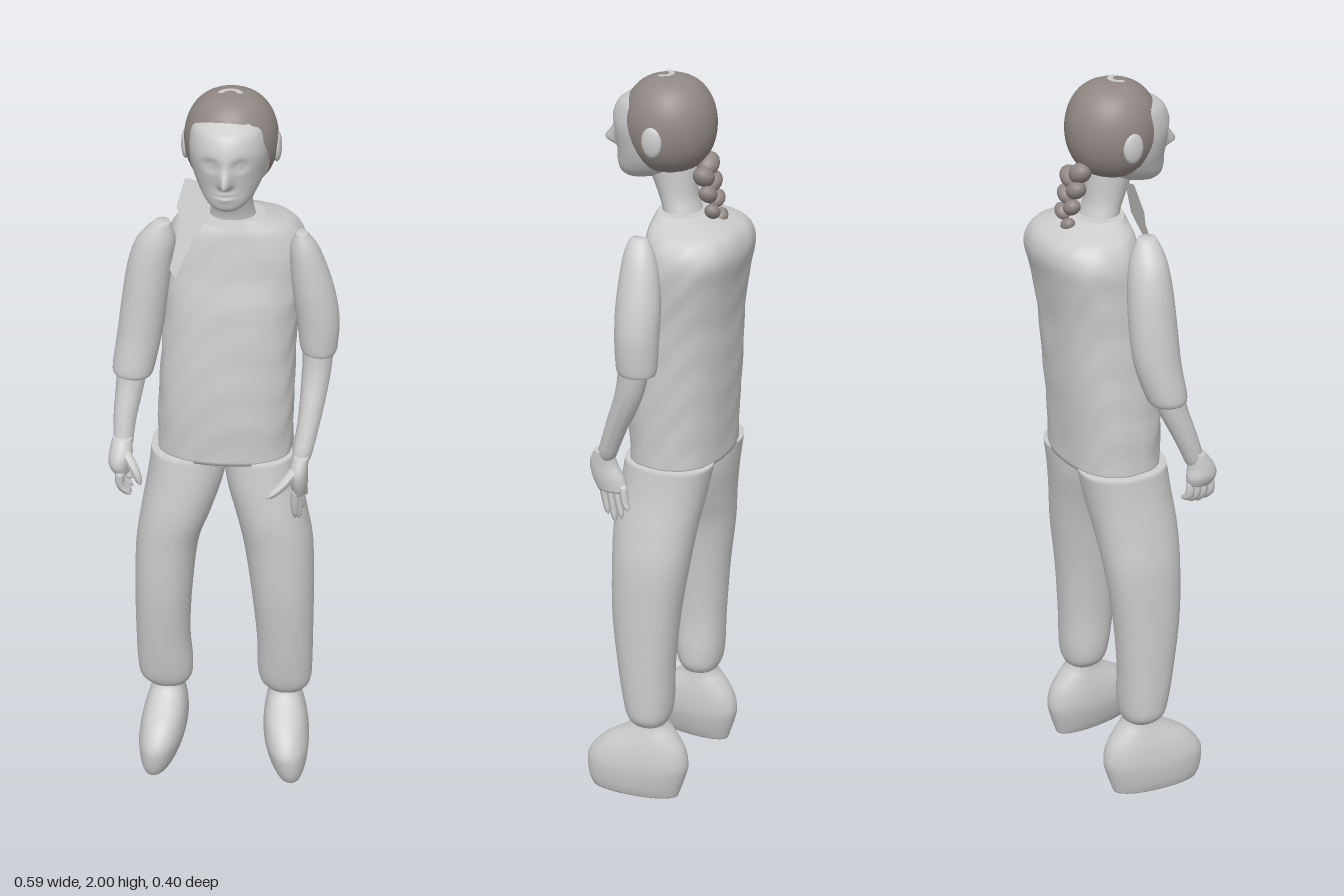
import * as THREE from 'three';

const cloth = new THREE.MeshStandardMaterial({ color: 0xcccccc, side: THREE.DoubleSide });
cloth.name = 'pale grey';
const hairMat = new THREE.MeshStandardMaterial({ color: 0x918884, side: THREE.DoubleSide });
hairMat.name = 'hair brown grey';

// Grid of points (rows of closed rings) turned into a smooth surface
function gridGeometry(rows, cols, fn) {
  const pos = [], idx = [];
  for (let i = 0; i < rows; i++)
    for (let j = 0; j < cols; j++) pos.push(...fn(i / (rows - 1), (j / cols) * Math.PI * 2));
  for (let i = 0; i < rows - 1; i++)
    for (let j = 0; j < cols; j++) {
      const a = i * cols + j, b = i * cols + (j + 1) % cols;
      idx.push(a, a + cols, b, b, a + cols, b + cols);
    }
  const g = new THREE.BufferGeometry();
  g.setAttribute('position', new THREE.Float32BufferAttribute(pos, 3));
  g.setIndex(idx);
  g.computeVertexNormals();
  return g;
}

// Loft through horizontal rings [y, x0, x1, z0, z1], listed from bottom to top
function loft(rings, { rows = 28, cols = 36, power = 2, warp = null } = {}) {
  const at = (t) => {
    const f = Math.min(Math.max(t, 0), 1) * (rings.length - 1);
    const i = Math.min(Math.floor(f), rings.length - 2), u = f - i;
    const a = rings[Math.max(i - 1, 0)], b = rings[i], c = rings[i + 1], d = rings[Math.min(i + 2, rings.length - 1)];
    return b.map((_, k) => b[k] + 0.5 * u * (c[k] - a[k] + u * (2 * a[k] - 5 * b[k] + 4 * c[k] - d[k]
      + u * (3 * (b[k] - c[k]) + d[k] - a[k]))));
  };
  const sp = (v) => Math.sign(v) * Math.abs(v) ** (2 / power);
  return gridGeometry(rows + 2, cols, (t, a) => {
    const row = Math.round(t * (rows + 1));
    const [y, x0, x1, z0, z1] = at((row - 1) / (rows - 1));
    const s = row === 0 || row === rows + 1 ? 0.001 : 0.5; // closed ends
    const p = [(x0 + x1) / 2 + sp(Math.cos(a)) * (x1 - x0) * s, y, (z0 + z1) / 2 + sp(Math.sin(a)) * (z1 - z0) * s];
    return warp ? warp(p, a) : p;
  });
}

// Tapered tube along points [x, y, z, radius]
function taper(points, seg = 18, sides = 12) {
  const curve = new THREE.CatmullRomCurve3(points.map((p) => new THREE.Vector3(p[0], p[1], p[2])));
  const g = new THREE.TubeGeometry(curve, seg, 1, sides, false);
  const p = g.attributes.position, v = new THREE.Vector3();
  for (let i = 0; i <= seg; i++) {
    const t = i / seg, f = t * (points.length - 1), k = Math.min(Math.floor(f), points.length - 2);
    const c = curve.getPointAt(t);
    let r = THREE.MathUtils.lerp(points[k][3], points[k + 1][3], f - k);
    if (i === 0 || i === seg) r *= 0.05;
    else if (i === seg - 1) r *= 0.8;
    for (let j = 0; j <= sides; j++) {
      const n = i * (sides + 1) + j;
      v.fromBufferAttribute(p, n).sub(c).multiplyScalar(r).add(c);
      p.setXYZ(n, v.x, v.y, v.z);
    }
  }
  g.computeVertexNormals();
  return g;
}

const bump = (d, w) => Math.exp(-(d * d) / (w * w));

export function createModel() {
  const model = new THREE.Group();
  const add = (name, geometry, material = cloth, parent = model) => {
    const m = new THREE.Mesh(geometry, material);
    m.name = name;
    parent.add(m);
    return m;
  };

  // Tunic with soft wrinkles
  add('tunic', loft([
    [0.98, -0.18, 0.18, -0.145, 0.105], [1.1, -0.178, 0.18, -0.15, 0.108], [1.25, -0.17, 0.182, -0.16, 0.1],
    [1.4, -0.162, 0.19, -0.17, 0.085], [1.5, -0.16, 0.2, -0.185, 0.065], [1.57, -0.155, 0.2, -0.197, 0.055],
    [1.615, -0.13, 0.175, -0.18, 0.048], [1.64, -0.085, 0.13, -0.13, 0.04], [1.655, -0.06, 0.1, -0.09, 0.035],
  ], { rows: 60, cols: 64, power: 2.4, warp: ([x, y, z], a) => {
    const w = 1 + 0.012 * Math.sin(y * 38 + 3 * Math.sin(a * 3)) * Math.sin(a * 6 + y * 17);
    return [0.01 + (x - 0.01) * w, y, -0.04 + (z + 0.04) * w];
  } }));

  // Trouser legs
  const legDepth = [[0.225, -0.045, 0.05], [0.25, -0.055, 0.065], [0.3, -0.06, 0.077], [0.4, -0.063, 0.092], [0.55, -0.075, 0.11],
    [0.7, -0.095, 0.115], [0.8, -0.108, 0.118], [0.9, -0.125, 0.11], [0.985, -0.14, 0.1]];
  const legX = {
    right: [[-0.215, -0.105], [-0.237, -0.092], [-0.243, -0.09], [-0.245, -0.096], [-0.245, -0.088], [-0.24, -0.07], [-0.225, -0.035], [-0.208, -0.003], [-0.198, 0.005]],
    left: [[0.12, 0.225], [0.1, 0.24], [0.092, 0.244], [0.09, 0.245], [0.075, 0.245], [0.053, 0.24], [0.03, 0.222], [0.003, 0.2], [-0.005, 0.188]],
  };
  for (const side of ['left', 'right'])
    add(side + 'TrouserLeg', loft(legDepth.map(([y, z0, z1], i) => [y, ...legX[side][i], z0, z1]), { rows: 40, power: 2.2 }));

  // Shoes with ankles, toes slightly splayed
  for (const [side, s, cx] of [['left', 1, 0.165], ['right', -1, -0.158]]) {
    const rings = [[0, 0.042, -0.08, 0.165], [0.025, 0.052, -0.088, 0.177], [0.065, 0.061, -0.1, 0.184], [0.1, 0.064, -0.106, 0.18],
      [0.145, 0.06, -0.096, 0.145], [0.185, 0.051, -0.07, 0.085], [0.215, 0.043, -0.046, 0.048], [0.25, 0.04, -0.036, 0.04]];
    add(side + 'Shoe', loft(rings.map(([y, r, z0, z1]) => [y, cx - r, cx + r, z0, z1]), {
      power: 2.2,
      warp: ([x, y, z]) => [x + s * (0.015 + z * 0.1) * (1 - y / 0.25), y, z],
    }));
  }

  // Sleeves
  add('leftSleeve', loft([
    [1.28, 0.202, 0.288, -0.048, 0.05], [1.3, 0.195, 0.293, -0.052, 0.056], [1.38, 0.185, 0.296, -0.055, 0.06], [1.46, 0.173, 0.282, -0.054, 0.062],
    [1.54, 0.166, 0.257, -0.042, 0.058], [1.59, 0.168, 0.235, -0.026, 0.052], [1.625, 0.182, 0.208, -0.005, 0.04],
  ]));
  add('rightSleeve', loft([
    [1.21, -0.283, -0.19, -0.01, 0.08], [1.23, -0.292, -0.182, -0.022, 0.085], [1.32, -0.28, -0.163, -0.048, 0.075], [1.42, -0.267, -0.148, -0.055, 0.07],
    [1.52, -0.25, -0.135, -0.05, 0.064], [1.59, -0.225, -0.126, -0.035, 0.056], [1.64, -0.18, -0.14, -0.008, 0.04],
  ]));

  // Forearms
  add('leftForearm', taper([[0.245, 1.34, 0.005, 0.042], [0.24, 1.23, 0.022, 0.037], [0.226, 1.11, 0.07, 0.029], [0.203, 0.99, 0.118, 0.024]]));
  add('rightForearm', taper([[-0.235, 1.28, 0.03, 0.042], [-0.243, 1.2, 0.045, 0.037], [-0.256, 1.1, 0.082, 0.03], [-0.26, 1.01, 0.115, 0.024]]));

  // Hands: palm, four fingers and a thumb
  const hand = (side, palm, fingers, thumb) => {
    const g = new THREE.Group();
    g.name = side + 'Hand';
    model.add(g);
    add('palm', loft(palm, { rows: 14, cols: 20 }), cloth, g);
    for (const [a, b, c] of fingers) add('finger', taper([[...a, 0.012], [...b, 0.0115], [...c, 0.008]], 10, 8), cloth, g);
    add('thumb', taper(thumb, 10, 8), cloth, g);
  };
  hand('left', [[0.915, 0.185, 0.225, 0.05, 0.135], [0.95, 0.18, 0.228, 0.058, 0.152], [0.99, 0.178, 0.228, 0.08, 0.158], [1.03, 0.19, 0.23, 0.09, 0.14]],
    [0, 1, 2, 3].map((i) => [[0.2 + i * 0.003, 0.94, 0.128 - i * 0.022], [0.195 + i * 0.007, 0.885, 0.12 - i * 0.023],
      [0.197 + i * 0.008, [0.835, 0.82, 0.838, 0.87][i], 0.11 - i * 0.024]]),
    [[0.2, 1.0, 0.135, 0.016], [0.16, 0.955, 0.158, 0.014], [0.122, 0.925, 0.172, 0.009]]);
  hand('right', [[0.965, -0.285, -0.24, 0.085, 0.155], [0.99, -0.296, -0.238, 0.08, 0.165], [1.02, -0.294, -0.232, 0.085, 0.158], [1.06, -0.285, -0.235, 0.085, 0.13]],
    [0, 1, 2, 3].map((i) => [[-0.263, 0.98, 0.152 - i * 0.02], [-0.262, 0.935, 0.152 - i * 0.021],
      [-0.235, [0.905, 0.9, 0.905, 0.92][i], 0.145 - i * 0.021]]),
    [[-0.255, 1.03, 0.13, 0.016], [-0.222, 0.985, 0.158, 0.014], [-0.207, 0.945, 0.165, 0.009]]);

  // Neck
  add('neck', loft([[1.61, -0.05, 0.085, -0.09, 0.025], [1.66, -0.04, 0.075, -0.07, 0.03], [1.7, -0.037, 0.07, -0.06, 0.045], [1.77, -0.04, 0.073, -0.06, 0.075]]));

  // Head with sculpted nose, eye sockets, eyes and lips
  const cx = 0.015;
  add('head', loft([
    [1.728, -0.015, 0.045, 0.07, 0.138], [1.738, -0.032, 0.062, 0.03, 0.15], [1.755, -0.05, 0.08, -0.02, 0.155], [1.785, -0.068, 0.098, -0.07, 0.155],
    [1.82, -0.08, 0.108, -0.088, 0.16], [1.87, -0.086, 0.114, -0.09, 0.17], [1.92, -0.082, 0.11, -0.08, 0.155], [1.945, -0.07, 0.1, -0.07, 0.125],
    [1.965, -0.045, 0.075, -0.04, 0.09], [1.985, -0.01, 0.04, 0, 0.04],
  ], { rows: 72, cols: 96, warp: ([x, y, z], a) => {
    if (Math.sin(a) < 0.2) return [x, y, z];
    const dx = x - cx, ex = Math.abs(dx) - 0.036;
    const nose = 0.04 * bump(dx, 0.013) * (y < 1.81 ? bump(y - 1.81, 0.011) : bump(y - 1.81, 0.032));
    const eyes = -0.014 * bump(ex, 0.02) * bump(y - 1.858, 0.015) + 0.007 * bump(ex, 0.011) * bump(y - 1.857, 0.007);
    const lips = bump(dx, 0.025) * (0.008 * bump(y - 1.774, 0.013) - 0.006 * bump(y - 1.775, 0.0035));
    return [x, y, z + nose + eyes + lips];
  } }));

  // Hair cap: high over the brow, low at the sides and nape
  add('hair', gridGeometry(28, 72, (t, a) => {
    const front = (Math.sin(a) + 1) / 2;
    const end = 0.93 + 1.75 * (1 - THREE.MathUtils.smoothstep(front, 0.55, 0.97)) + 0.04 * Math.sin(a * 11);
    const th = (1 - t) * end, r = Math.sin(th) ** 0.76;
    return [0.017 + 0.118 * r * Math.cos(a), 1.875 + 0.124 * Math.cos(th), 0.014 + 0.12 * r * Math.sin(a)];
  }), hairMat);

  // Bare patch on the crown
  const patch = add('crownPatch', new THREE.RingGeometry(0.017, 0.031, 20, 1, 0, Math.PI));
  patch.rotation.x = -Math.PI / 2;
  patch.position.set(0.016, 2, 0.036);

  // Ears showing through the hair
  for (const s of [-1, 1]) {
    const ear = add(s > 0 ? 'leftEar' : 'rightEar', new THREE.SphereGeometry(1, 16, 12));
    ear.scale.set(0.012, 0.04, 0.028);
    ear.position.set(0.017 + s * 0.114, 1.855, 0.012);
  }

  // Braid of overlapping strands
  const braid = new THREE.Group();
  braid.name = 'braid';
  model.add(braid);
  for (let i = 0; i < 8; i++) {
    const s = i % 2 ? 1 : -1, r = 0.036 - i * 0.0022;
    const lock = add('braidLock', new THREE.SphereGeometry(1, 16, 12), hairMat, braid);
    lock.scale.set(r, r * 0.72, r * 0.8);
    lock.position.set(0.022 + s * 0.02, 1.775 - i * 0.022, -0.085 - i * 0.006);
    lock.rotation.z = s * 0.6;
  }

  // Loose scarf end hanging from the right side of the neck
  const outline = [[-0.05, 1.75], [-0.1, 1.76], [-0.12, 1.69], [-0.11, 1.65], [-0.135, 1.53], [-0.12, 1.51], [-0.075, 1.61], [-0.04, 1.66]];
  const scarf = new THREE.ShapeGeometry(new THREE.Shape(outline.map((p) => new THREE.Vector2(...p))));
  const sp = scarf.attributes.position;
  for (let i = 0; i < sp.count; i++) sp.setZ(i, 0.015 + (1.75 - sp.getY(i)) * 0.26);
  scarf.computeVertexNormals();
  add('scarfEnd', scarf);

  return model;
}
